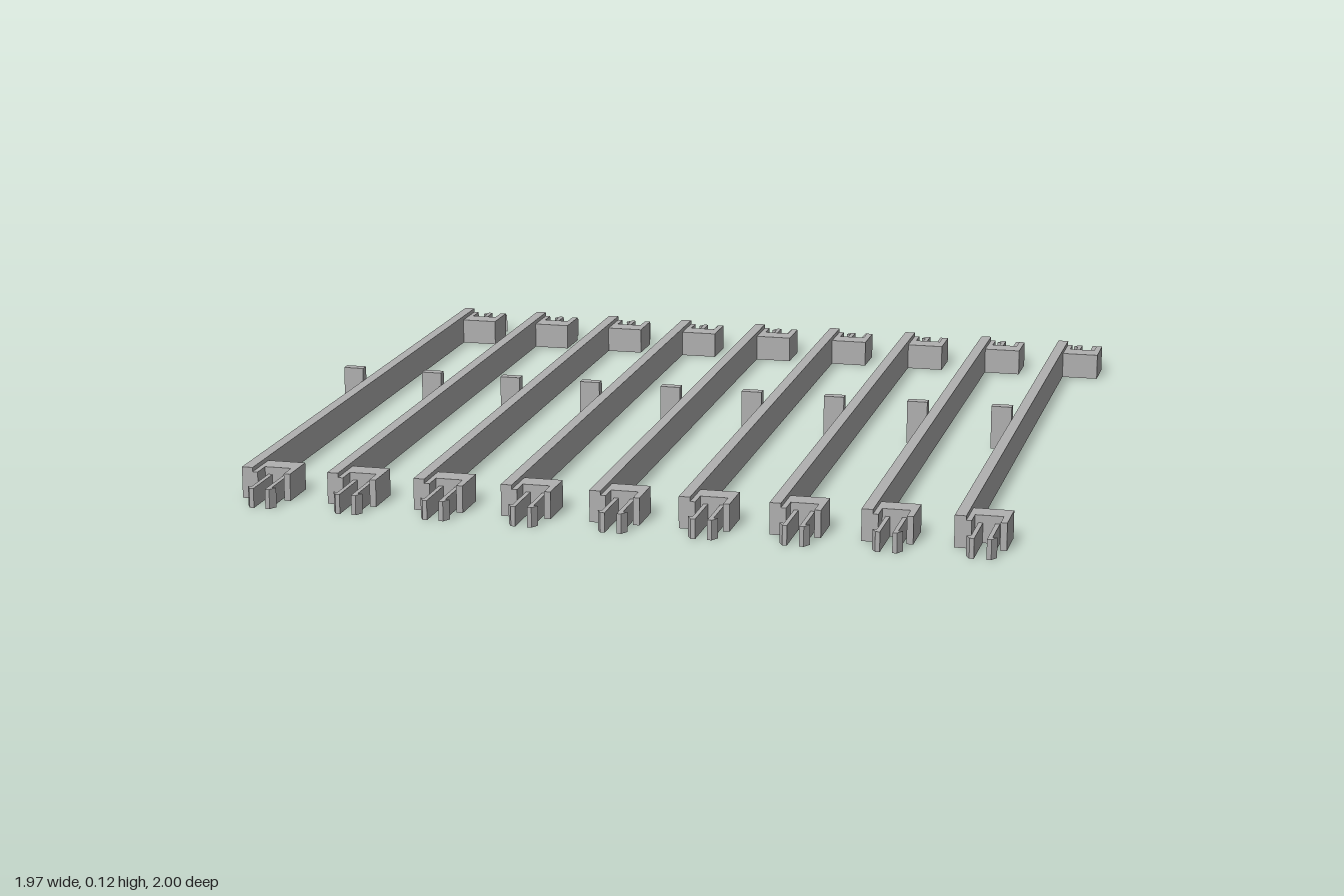
import * as THREE from 'three';

const COUNT = 9, PITCH = 0.2242, START = -0.987;

// Extrudes a plan outline (x, distance outward along z) upward from y = 0.
function plan(points, height, end) {
  const shape = new THREE.Shape(points.map(([x, d]) => new THREE.Vector2(x, d)));
  const g = new THREE.ExtrudeGeometry(shape, { depth: height, bevelEnabled: false });
  if (end > 0) g.rotateX(Math.PI / 2).translate(0, height, 0);
  else g.rotateX(-Math.PI / 2);
  return g;
}

// Box spanning x0..x1, standing on the ground, centred on z.
function block(x0, x1, height, length) {
  return new THREE.BoxGeometry(x1 - x0, height, length).translate((x0 + x1) / 2, height / 2, 0);
}

export function createModel() {
  const model = new THREE.Group();
  model.name = 'clipRailSet';
  const grey = new THREE.MeshStandardMaterial({ color: 0xb0b0b0 });
  grey.name = 'plastic grey';

  // All x positions are measured from the outer edge of the tab.
  const parts = [
    ['rail', block(0.053, 0.081, 0.08, 1.84)],
    ['middleTab', block(0, 0.054, 0.115, 0.026)],
  ];

  for (const end of [1, -1]) {
    const name = end > 0 ? 'front' : 'back';
    // U-shaped bracket open toward the end of the rail
    parts.push([name + 'Bracket', plan([
      [0.08, 0.81], [0.179, 0.81], [0.179, 0.92], [0.163, 0.92],
      [0.163, 0.868], [0.094, 0.868], [0.094, 0.92], [0.08, 0.92],
    ], 0.069, end)]);
    // Pair of snap prongs with outward barbs
    for (const side of [-1, 1]) {
      const outline = [
        [0.015, 0.866], [0.026, 0.866], [0.026, 0.98],
        [0.037, 0.98], [0.026, 1.0], [0.015, 1.0],
      ].map(([x, d]) => [0.128 + side * x, d]);
      parts.push([name + (side < 0 ? 'RightProng' : 'LeftProng'), plan(outline, 0.05, end)]);
    }
  }

  // Repeat the rail unit across the width
  for (let i = 0; i < COUNT; i++) {
    const unit = new THREE.Group();
    unit.name = 'railUnit' + (i + 1);
    unit.position.x = START + i * PITCH;
    for (const [name, geometry] of parts) {
      const mesh = new THREE.Mesh(geometry, grey);
      mesh.name = name;
      unit.add(mesh);
    }
    model.add(unit);
  }
  return model;
}
